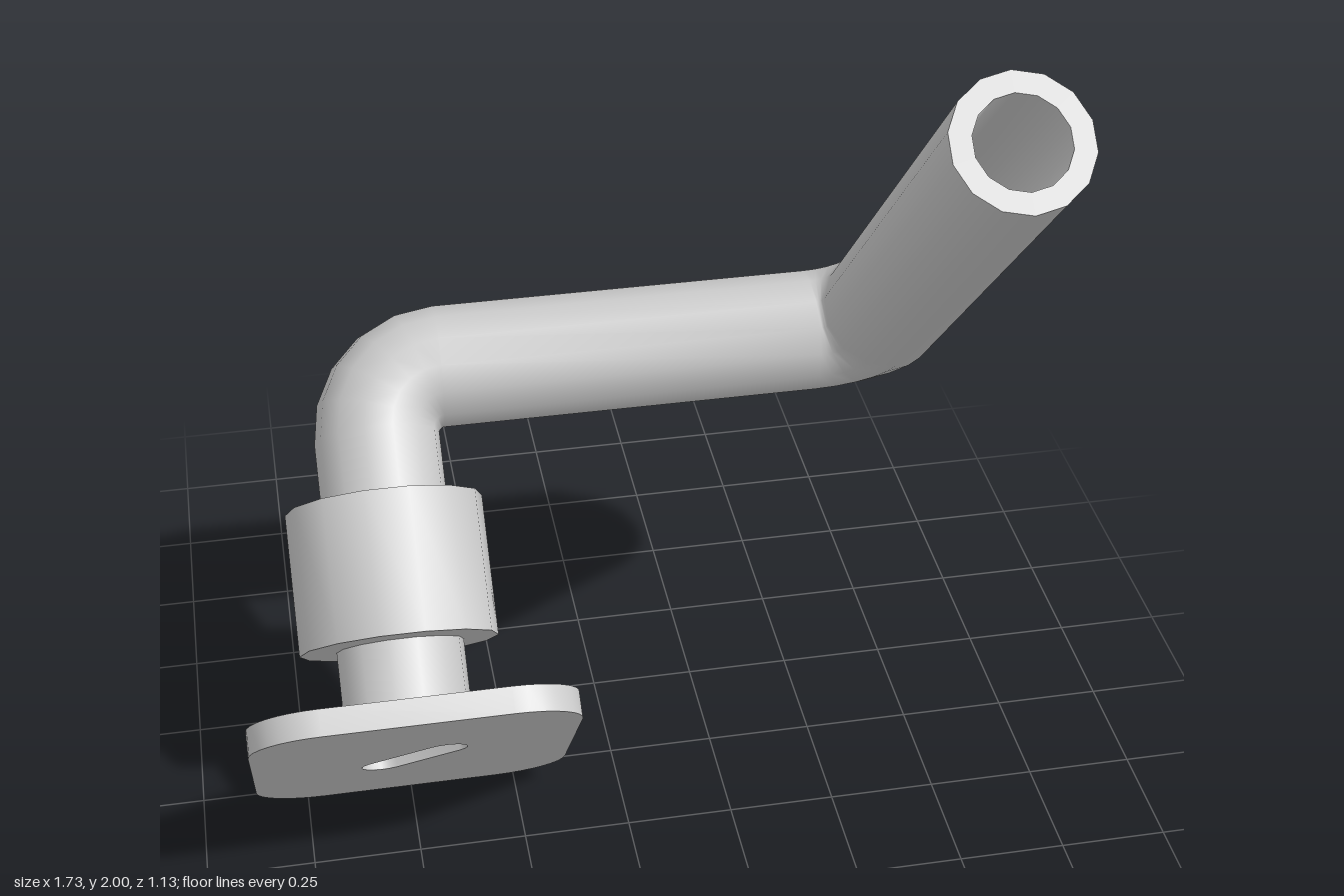
import * as THREE from 'three';
import { toCreasedNormals } from 'three/addons/utils/BufferGeometryUtils.js';

const SIDES = 14;
const V = (x, y, z) => new THREE.Vector3(x, y, z);
const material = new THREE.MeshStandardMaterial({ color: 0xcccccc, side: THREE.DoubleSide });

function addMesh(group, name, geometry) {
  const mesh = new THREE.Mesh(toCreasedNormals(geometry, 0.7), material);
  mesh.name = name;
  group.add(mesh);
  return mesh;
}

// Centre line through the corners, each corner rounded by an arc.
function roundedPath(corners, bend, steps) {
  const path = [];
  const last = corners.length - 1;
  corners.forEach((c, i) => {
    if (i === 0 || i === last) {
      const t = corners[i === 0 ? 1 : last - 1].clone().sub(c).normalize();
      path.push({ p: c, t: i === 0 ? t : t.negate() });
      return;
    }
    const a = c.clone().sub(corners[i - 1]).normalize();
    const b = corners[i + 1].clone().sub(c).normalize();
    const angle = a.angleTo(b);
    const inward = b.clone().addScaledVector(a, -a.dot(b)).normalize();
    const start = c.clone().addScaledVector(a, -bend * Math.tan(angle / 2));
    for (let k = 0; k <= steps; k++) {
      const f = (angle * k) / steps;
      path.push({
        p: start.clone().addScaledVector(a, bend * Math.sin(f)).addScaledVector(inward, bend * (1 - Math.cos(f))),
        t: a.clone().multiplyScalar(Math.cos(f)).addScaledVector(inward, Math.sin(f)),
      });
    }
  });
  return path;
}

// Hollow pipe: outer rings forward, inner rings back, closed at both ends.
function pipeGeometry(path, outer, inner) {
  const normal = V(1, 0, 0);
  const previous = path[0].t.clone();
  const frames = path.map(({ p, t }) => {
    normal.applyQuaternion(new THREE.Quaternion().setFromUnitVectors(previous, t));
    normal.addScaledVector(t, -normal.dot(t)).normalize();
    previous.copy(t);
    return { p, u: normal.clone(), v: t.clone().cross(normal) };
  });
  const rings = [
    ...frames.map((f) => ({ ...f, r: outer })),
    ...frames.map((f) => ({ ...f, r: inner })).reverse(),
  ];
  const position = [];
  const index = [];
  rings.forEach(({ p, u, v, r }, i) => {
    const next = (i + 1) % rings.length;
    for (let j = 0; j < SIDES; j++) {
      const a = (j / SIDES) * Math.PI * 2;
      const q = p.clone().addScaledVector(u, r * Math.cos(a)).addScaledVector(v, r * Math.sin(a));
      position.push(q.x, q.y, q.z);
      const k = (j + 1) % SIDES;
      const A = i * SIDES + j, B = i * SIDES + k, C = next * SIDES + k, D = next * SIDES + j;
      index.push(A, B, C, A, C, D);
    }
  });
  const geometry = new THREE.BufferGeometry();
  geometry.setAttribute('position', new THREE.Float32BufferAttribute(position, 3));
  geometry.setIndex(index);
  return geometry;
}

// Rounded square with a slanted slot through the middle.
function plateGeometry(width, height, radius, depth) {
  const shape = new THREE.Shape();
  [[1, 1], [-1, 1], [-1, -1], [1, -1]].forEach(([sx, sy], i) => {
    const a = (i * Math.PI) / 2;
    shape.absarc(sx * (width / 2 - radius), sy * (height / 2 - radius), radius, a, a + Math.PI / 2);
  });
  const slot = new THREE.Path();
  const tilt = 0.72;
  for (const s of [1, -1]) {
    const mid = s > 0 ? tilt : tilt + Math.PI;
    slot.absarc(0.093 * Math.cos(mid), 0.093 * Math.sin(mid), 0.05, mid - Math.PI / 2, mid + Math.PI / 2);
  }
  shape.holes.push(slot);
  const geometry = new THREE.ExtrudeGeometry(shape, { depth, bevelEnabled: false, curveSegments: 4 });
  return geometry.translate(0, 0, -depth / 2);
}

export function createModel() {
  const group = new THREE.Group();

  // Bent pipe: stub, cross arm and open upper arm
  const corners = [V(-0.505, 0.36, 0.219), V(-0.505, 0.918, -0.42), V(0.714, 0.918, -0.42), V(0.714, 1.907, 0.45)];
  addMesh(group, 'bentPipe', pipeGeometry(roundedPath(corners, 0.16, 5), 0.147, 0.1));

  // Collar around the stub
  const h = 0.165;
  const profile = [[0.14, -h], [0.23, -h], [0.23, h], [0.14, h], [0.14, -h]].map(([x, y]) => new THREE.Vector2(x, y));
  const collar = addMesh(group, 'collar', new THREE.LatheGeometry(profile, SIDES, Math.PI / 2));
  collar.position.set(-0.507, 0.604, -0.049);
  collar.quaternion.setFromUnitVectors(V(0, 1, 0), V(0, 0.67, -0.742).normalize());

  // Tilted mounting plate
  const plate = addMesh(group, 'mountingPlate', plateGeometry(0.735, 0.79, 0.16, 0.06));
  plate.position.set(-0.502, 0.342, 0.244);
  plate.rotation.x = 0.633;

  return group;
}
